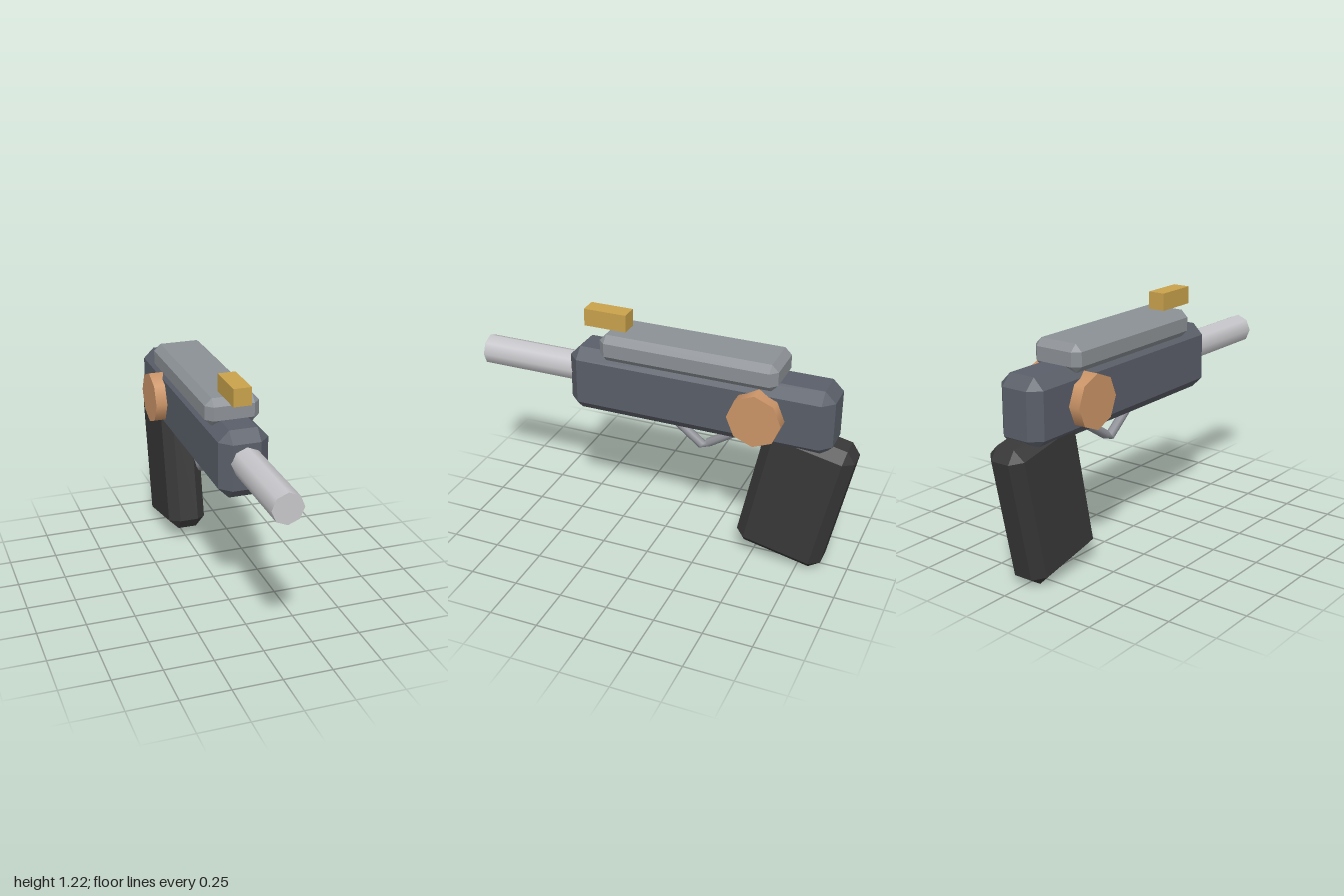
import * as THREE from 'three';
import { ConvexGeometry } from 'three/addons/geometries/ConvexGeometry.js';

function material(name, color, side = THREE.FrontSide) {
  const m = new THREE.MeshStandardMaterial({ color, side });
  m.name = name;
  return m;
}

// Box with every edge cut at 45 degrees and triangular corners
function chamferBox(w, h, d, c) {
  const points = [];
  const [x, y, z] = [w / 2, h / 2, d / 2];
  for (const i of [-1, 1]) for (const j of [-1, 1]) for (const k of [-1, 1]) {
    points.push(
      new THREE.Vector3(i * x, j * (y - c), k * (z - c)),
      new THREE.Vector3(i * (x - c), j * y, k * (z - c)),
      new THREE.Vector3(i * (x - c), j * (y - c), k * z)
    );
  }
  return new ConvexGeometry(points);
}

export function createModel() {
  const model = new THREE.Group();
  const gunmetal = material('gunmetal', 0x5a5f69);
  const slateGrey = material('slateGrey', 0x8c9196);
  const black = material('black', 0x383838);
  const copper = material('copper', 0xcc9568);
  const brass = material('brass', 0xc9a24c);
  const steel = material('steel', 0xc8c8cc);
  const darkSteel = material('darkSteel', 0x8f9198, THREE.DoubleSide);

  function add(name, geometry, mat, y, z) {
    const mesh = new THREE.Mesh(geometry, mat);
    mesh.name = name;
    mesh.position.set(0, y, z);
    model.add(mesh);
    return mesh;
  }

  // Main frame and the slide on top of it
  add('body', chamferBox(0.25, 0.345, 1.38, 0.055), gunmetal, 0.8625, -0.2);
  add('slide', chamferBox(0.275, 0.14, 0.925, 0.035), slateGrey, 1.07, -0.1525);

  // Raked grip
  const grip = add('grip', chamferBox(0.206, 0.73, 0.46, 0.052), black, 0.404, -0.71);
  grip.rotation.x = -0.209;

  // Eight-sided barrel, running a little into the body
  const barrel = add('barrel', new THREE.CylinderGeometry(0.078, 0.078, 0.6, 8), steel, 0.885, 0.7);
  barrel.rotation.x = Math.PI / 2;

  // Eight-sided drum passing through the body
  const drum = add('sideDrum', new THREE.CylinderGeometry(0.137, 0.137, 0.37, 8), copper, 0.864, -0.525);
  drum.rotation.z = Math.PI / 2;

  // Front sight
  add('frontSight', new THREE.BoxGeometry(0.09, 0.09, 0.225), brass, 1.185, 0.3075);

  // Bent trigger; nine segments put a ring exactly at the bend
  const ends = [[0.675, -0.065], [0.567, -0.203], [0.682, -0.383]]
    .map(([y, z]) => new THREE.Vector3(0, y, z));
  const path = new THREE.CurvePath();
  path.add(new THREE.LineCurve3(ends[0], ends[1]));
  path.add(new THREE.LineCurve3(ends[1], ends[2]));
  add('trigger', new THREE.TubeGeometry(path, 9, 0.024, 8), darkSteel, 0, 0);

  return model;
}
